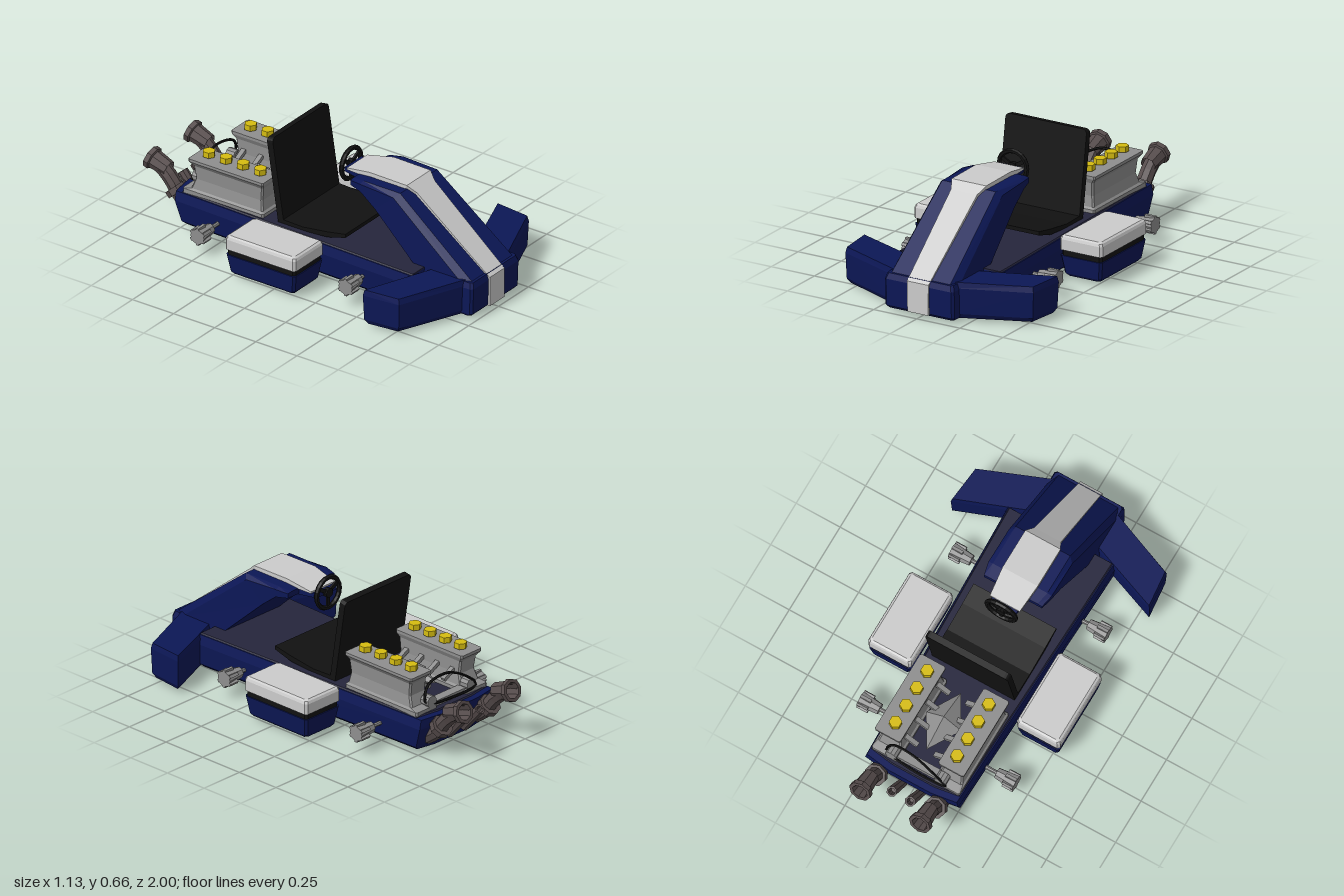
import * as THREE from 'three';

const mat = (color) => new THREE.MeshStandardMaterial({ color, flatShading: true, side: THREE.DoubleSide });
const blue = mat(0x0c1756), deckMat = mat(0x25253c), black = mat(0x111111), grey = mat(0xcccccc);
const metal = mat(0x8e8e8e), yellow = mat(0xd6bd10), pipeMat = mat(0x564c4c);

// Closed solid through equal-length loops of [x, y, z] points, capped at both ends
function loft(loops) {
  const pos = [], n = loops[0].length;
  const tri = (a, b, c) => pos.push(...a, ...b, ...c);
  for (let k = 0; k < loops.length - 1; k++)
    for (let i = 0; i < n; i++) {
      const j = (i + 1) % n, A = loops[k], B = loops[k + 1];
      tri(A[i], A[j], B[j]);
      tri(A[i], B[j], B[i]);
    }
  const first = loops[0], last = loops[loops.length - 1];
  for (let i = 1; i < n - 1; i++) {
    tri(first[0], first[i + 1], first[i]);
    tri(last[0], last[i], last[i + 1]);
  }
  // turn the faces outward if the signed volume is negative
  let vol = 0;
  const a = new THREE.Vector3(), b = new THREE.Vector3(), c = new THREE.Vector3();
  for (let i = 0; i < pos.length; i += 9)
    vol += a.fromArray(pos, i).dot(b.fromArray(pos, i + 3).cross(c.fromArray(pos, i + 6)));
  if (vol < 0)
    for (let i = 0; i < pos.length; i += 9)
      for (let k = 0; k < 3; k++) [pos[i + k], pos[i + 3 + k]] = [pos[i + 3 + k], pos[i + k]];
  const g = new THREE.BufferGeometry();
  g.setAttribute('position', new THREE.Float32BufferAttribute(pos, 3));
  g.computeVertexNormals();
  return g;
}

// Rectangle with cut corners at height y
const rect = (y, x0, x1, z0, z1, c = 0.012) => [
  [x0 + c, y, z0], [x1 - c, y, z0], [x1, y, z0 + c], [x1, y, z1 - c],
  [x1 - c, y, z1], [x0 + c, y, z1], [x0, y, z1 - c], [x0, y, z0 + c]];

export function createModel() {
  const model = new THREE.Group();
  const add = (name, geo, material, x = 0, y = 0, z = 0) => {
    const m = new THREE.Mesh(geo, material);
    m.name = name;
    m.position.set(x, y, z);
    model.add(m);
    return m;
  };

  // Chassis tub, deck and belly plate
  const tub = (y, w, rear) => [[-w, y, 0.69], [w, y, 0.69], [w - 0.045, y, rear], [0.12, y, rear - 0.02],
    [-0.12, y, rear - 0.02], [0.045 - w, y, rear]];
  add('chassis', loft([tub(0.015, 0.27, -0.72), tub(0.04, 0.3, -0.74), tub(0.15, 0.31, -0.775), tub(0.2, 0.3, -0.775)]), blue);
  add('deck', loft([tub(0.2, 0.295, -0.74), tub(0.207, 0.29, -0.735)]), deckMat);
  add('bellyPlate', new THREE.BoxGeometry(0.4, 0.016, 1.38), black, 0, 0.008, 0.04);

  // Nose base
  add('noseBase', loft([rect(0.015, -0.19, 0.19, 0.66, 0.965), rect(0.03, -0.2, 0.2, 0.66, 0.98),
    rect(0.17, -0.2, 0.2, 0.66, 0.985), rect(0.2, -0.19, 0.19, 0.66, 0.975)]), blue);

  // Sloping nose cowl: stations are [top z, top y, bottom z, bottom y, half width]
  const cowl = [[0.98, 0.185, 0.65, 0.18, 0.195], [0.515, 0.545, 0.38, 0.425, 0.18],
    [0.29, 0.545, 0.29, 0.495, 0.18], [0.22, 0.535, 0.22, 0.505, 0.165]];
  add('noseCowl', loft(cowl.map(([tz, ty, bz, by, w]) => {
    const z = tz + (bz - tz) * 0.18, y = ty + (by - ty) * 0.18;
    return [[-w, by, bz], [-w, y, z], [0.025 - w, ty, tz], [w - 0.025, ty, tz], [w, y, z], [w, by, bz]];
  })), blue);

  // Centre stripe and steering support: [top z, top y, bottom z, bottom y, half width]
  const band = (list) => loft(list.map(([tz, ty, bz, by, w]) => [[-w, ty, tz], [w, ty, tz], [w, by, bz], [-w, by, bz]]));
  add('noseStripe', band([[0.992, 0.025, 0.95, 0.025, 0.06], [0.992, 0.185, 0.95, 0.165, 0.062],
    [0.56, 0.528, 0.54, 0.5, 0.076], [0.515, 0.565, 0.5, 0.535, 0.1], [0.29, 0.568, 0.29, 0.535, 0.1],
    [0.14, 0.54, 0.14, 0.53, 0.085]]), grey);
  add('steeringSupport', band([[0.3, 0.545, 0.3, 0.495, 0.1], [0.115, 0.53, 0.115, 0.508, 0.07]]), blue);

  for (const s of [1, -1]) {
    // Front wing
    const wing = (y, d) => [[s * 0.18, y, 0.935 - d], [s * (0.545 - d), y, 0.79 - d],
      [s * (0.565 - d), y, 0.585 + d], [s * 0.18, y, 0.73 + d]];
    add('frontWing', loft([wing(0.015, 0.02), wing(0.04, 0.005), wing(0.175, 0), wing(0.205, 0.006)]), blue);

    // Side pod in three layers
    const layer = (y, d) => rect(y, s * 0.4225 - 0.123 + d, s * 0.4225 + 0.123 - d, -0.27 + d, 0.157 - d);
    add('sidePod', loft([layer(0.02, 0.03), layer(0.035, 0.017), layer(0.13, 0.002)]), blue);
    add('sidePodSeal', loft([layer(0.125, 0.008), layer(0.165, 0.008)]), black);
    add('sidePodLid', loft([layer(0.16, 0), layer(0.215, 0), layer(0.228, 0.005), layer(0.235, 0.015)]), grey);

    // Stub axles with ribbed hubs
    for (const z of [0.39, -0.51]) {
      const axle = add('axle', new THREE.CylinderGeometry(0.011, 0.011, 0.15, 8), metal, s * 0.29, 0.105, z);
      const hub = add('hub', new THREE.CylinderGeometry(0.042, 0.029, 0.11, 8), metal, s * 0.388, 0.105, z);
      axle.rotation.z = hub.rotation.z = -s * Math.PI / 2;
      for (let i = 0; i < 3; i++) {
        const rib = new THREE.Mesh(new THREE.BoxGeometry(0.094, 0.06, 0.016), metal);
        rib.name = 'hubRib';
        rib.position.y = 0.025;
        rib.rotation.y = i * Math.PI / 3;
        hub.add(rib);
      }
    }

    // Engine bank: waisted block with flared lip and base
    const level = (y, x0, x1, z0, z1) => rect(y, s > 0 ? x0 : -x1, s > 0 ? x1 : -x0, z0, z1, 0.008);
    add('engineBank', loft([level(0.19, 0.1, 0.25, -0.74, -0.25), level(0.225, 0.1, 0.25, -0.74, -0.25),
      level(0.235, 0.11, 0.24, -0.695, -0.26), level(0.29, 0.12, 0.23, -0.675, -0.27),
      level(0.36, 0.12, 0.235, -0.685, -0.262), level(0.385, 0.108, 0.253, -0.705, -0.25),
      level(0.4, 0.108, 0.253, -0.705, -0.25)]), metal);
    for (let i = 0; i < 4; i++) {
      add('engineCap', new THREE.CylinderGeometry(0.033, 0.033, 0.03, 6), yellow, s * 0.175, 0.42, -0.32 - i * 0.104);
      // Intake runners into the valley between the banks
      const runner = add('intakeRunner', new THREE.BoxGeometry(0.08, 0.02, 0.025), metal, s * 0.085, 0.29, -0.32 - i * 0.104);
      runner.rotation.z = s * 0.5;
    }
    add('pulley', new THREE.CylinderGeometry(0.032, 0.032, 0.05, 10), metal, s * 0.14, 0.25, -0.715).rotation.x = Math.PI / 2;

    // Large exhaust: bent pipe, collar and open flared tip
    const path = new THREE.CatmullRomCurve3([[-0.73, 0.07], [-0.8, 0.12], [-0.87, 0.21], [-0.93, 0.26], [-0.985, 0.28]]
      .map(([z, y]) => new THREE.Vector3(s * 0.17, y, z)));
    add('exhaustPipe', new THREE.TubeGeometry(path, 8, 0.04, 8), pipeMat);
    const collar = add('exhaustCollar', new THREE.CylinderGeometry(0.058, 0.058, 0.035, 8), pipeMat, s * 0.17, 0.155, -0.83);
    collar.rotation.x = -0.75;
    const tip = add('exhaustTip', new THREE.LatheGeometry([[0.042, -0.06], [0.05, 0.03], [0.06, 0.035], [0.06, 0.06],
      [0.042, 0.06], [0.036, -0.02], [0, -0.02]].map(([r, y]) => new THREE.Vector2(r, y)), 8), pipeMat, s * 0.17, 0.27, -0.935);
    tip.rotation.x = -1.25;

    // Small exhaust
    const small = new THREE.LatheGeometry([[0.024, -0.09], [0.028, 0.08], [0.018, 0.08], [0.016, 0.04], [0, 0.04]]
      .map(([r, y]) => new THREE.Vector2(r, y)), 8);
    add('smallExhaust', small, pipeMat, s * 0.052, 0.13, -0.83).rotation.x = -0.7;
  }

  // Engine valley: faceted cover and drive belt
  const cover = add('valleyCover', new THREE.OctahedronGeometry(1), metal, 0, 0.27, -0.46);
  cover.scale.set(0.1, 0.07, 0.17);
  add('rearCrossmember', new THREE.BoxGeometry(0.24, 0.04, 0.05), metal, 0, 0.215, -0.7);
  const belt = new THREE.CatmullRomCurve3([[-0.17, 0.24, -0.74], [-0.1, 0.31, -0.735], [0.02, 0.36, -0.72],
    [0.14, 0.33, -0.71], [0.17, 0.25, -0.725], [0, 0.23, -0.745]].map((p) => new THREE.Vector3(...p)), true);
  add('driveBelt', new THREE.TubeGeometry(belt, 36, 0.007, 6, true), black);

  // Seat: upright back with rounded top corners, and a pan rising to the front
  const w = 0.235, r = 0.025, back = new THREE.Shape();
  back.moveTo(-w, 0).lineTo(w, 0).lineTo(w, 0.445 - r).quadraticCurveTo(w, 0.445, w - r, 0.445)
    .lineTo(r - w, 0.445).quadraticCurveTo(-w, 0.445, -w, 0.445 - r);
  add('seatBack', new THREE.ExtrudeGeometry(back, { depth: 0.035, bevelEnabled: false, curveSegments: 4 }),
    black, 0, 0.215, -0.17).rotation.x = -0.155;
  const pan = [[0.24, 0.265, 0.245], [0.13, 0.245, 0.215], [-0.02, 0.225, 0.205], [-0.17, 0.23, 0.205]];
  add('seatPan', loft(pan.map(([z, t, b]) => [[-w, t, z], [w, t, z], [w, b, z], [-w, b, z]])), black);

  // Steering wheel
  add('steeringWheel', new THREE.TorusGeometry(0.081, 0.013, 6, 20), black, 0, 0.52, 0.105);
  add('steeringHub', new THREE.CylinderGeometry(0.025, 0.025, 0.025, 8), black, 0, 0.52, 0.105).rotation.x = Math.PI / 2;
  for (let i = 0; i < 3; i++) {
    const a = Math.PI / 2 + i * Math.PI * 2 / 3;
    add('steeringSpoke', new THREE.BoxGeometry(0.075, 0.02, 0.01), black,
      -Math.cos(a) * 0.042, 0.52 - Math.sin(a) * 0.042, 0.105).rotation.z = a;
  }
  return model;
}
